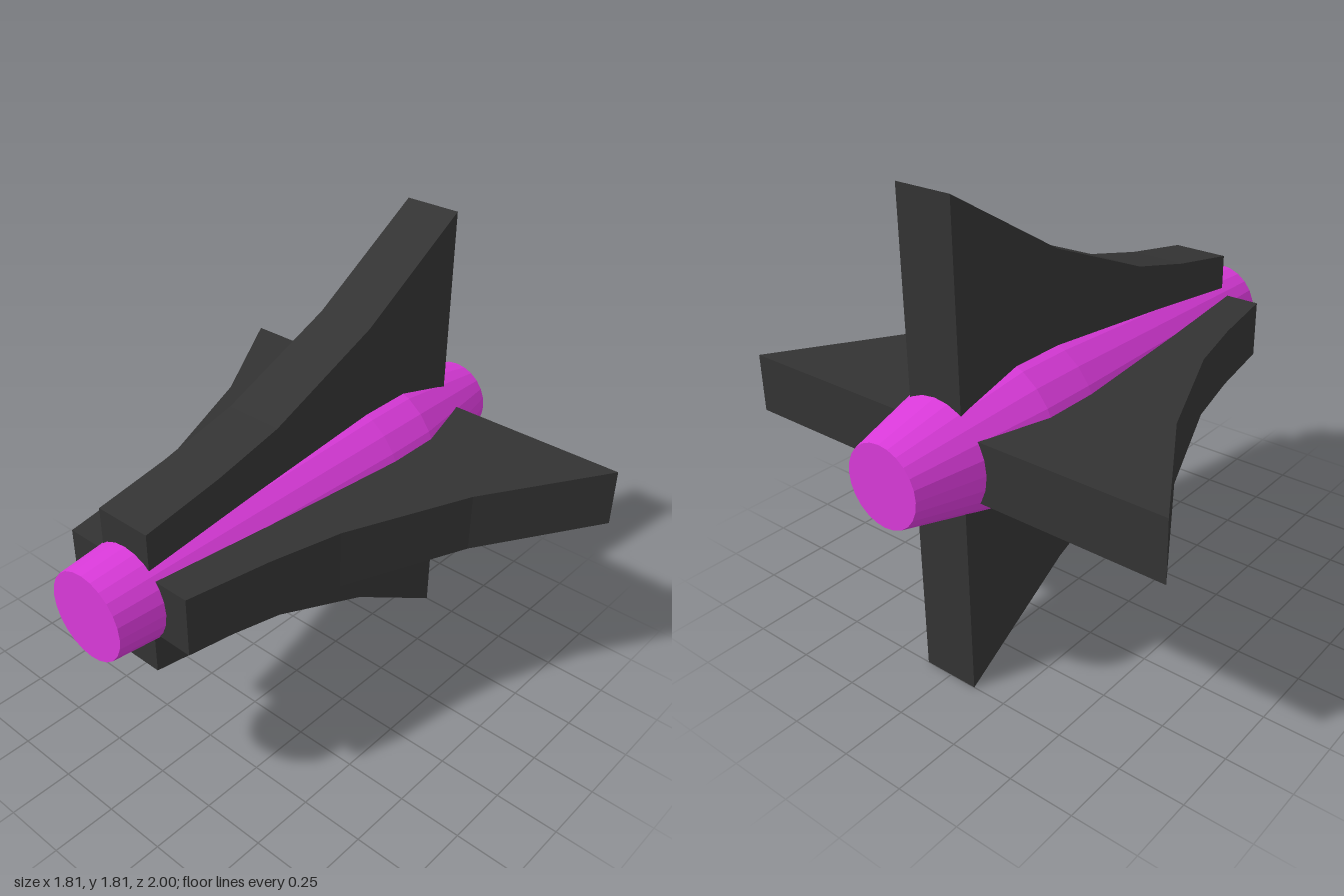
import * as THREE from 'three';

export function createModel() {
  const model = new THREE.Group();
  model.name = 'finnedBody';
  const centreY = 0.905, finHalf = 0.113;
  const bodyMat = new THREE.MeshStandardMaterial({ color: 0xd93ad9, flatShading: true });
  const finMat = new THREE.MeshStandardMaterial({ color: 0x333333, flatShading: true });

  // Tapered round body with closed flat ends, lying along z
  const profile = [[0, -1], [0.15, -1], [0.283, -0.48], [0.283, -0.26], [0.165, 1], [0, 1]]
    .map(([r, z]) => new THREE.Vector2(r, z));
  const bodyGeo = new THREE.LatheGeometry(profile, 24).rotateX(Math.PI / 2);
  const body = new THREE.Mesh(bodyGeo, bodyMat);
  body.name = 'body';
  body.position.y = centreY;
  model.add(body);

  // Thick swept fin outline: along the body (z) and outward from its axis
  const outline = [[-0.75, 0.1], [0.82, 0.1], [0.82, 0.28], [0.5, 0.337],
    [0.22, 0.405], [-0.26, 0.605], [-0.75, 0.903]]
    .map(([z, r]) => new THREE.Vector2(z, r));
  const finGeo = new THREE.ExtrudeGeometry(new THREE.Shape(outline),
    { depth: finHalf * 2, bevelEnabled: false })
    .translate(0, 0, -finHalf)
    .rotateY(-Math.PI / 2);

  // Four fins at right angles
  ['topFin', 'leftFin', 'bottomFin', 'rightFin'].forEach((name, i) => {
    const fin = new THREE.Mesh(finGeo, finMat);
    fin.name = name;
    fin.position.y = centreY;
    fin.rotation.z = -i * Math.PI / 2;
    model.add(fin);
  });

  return model;
}
